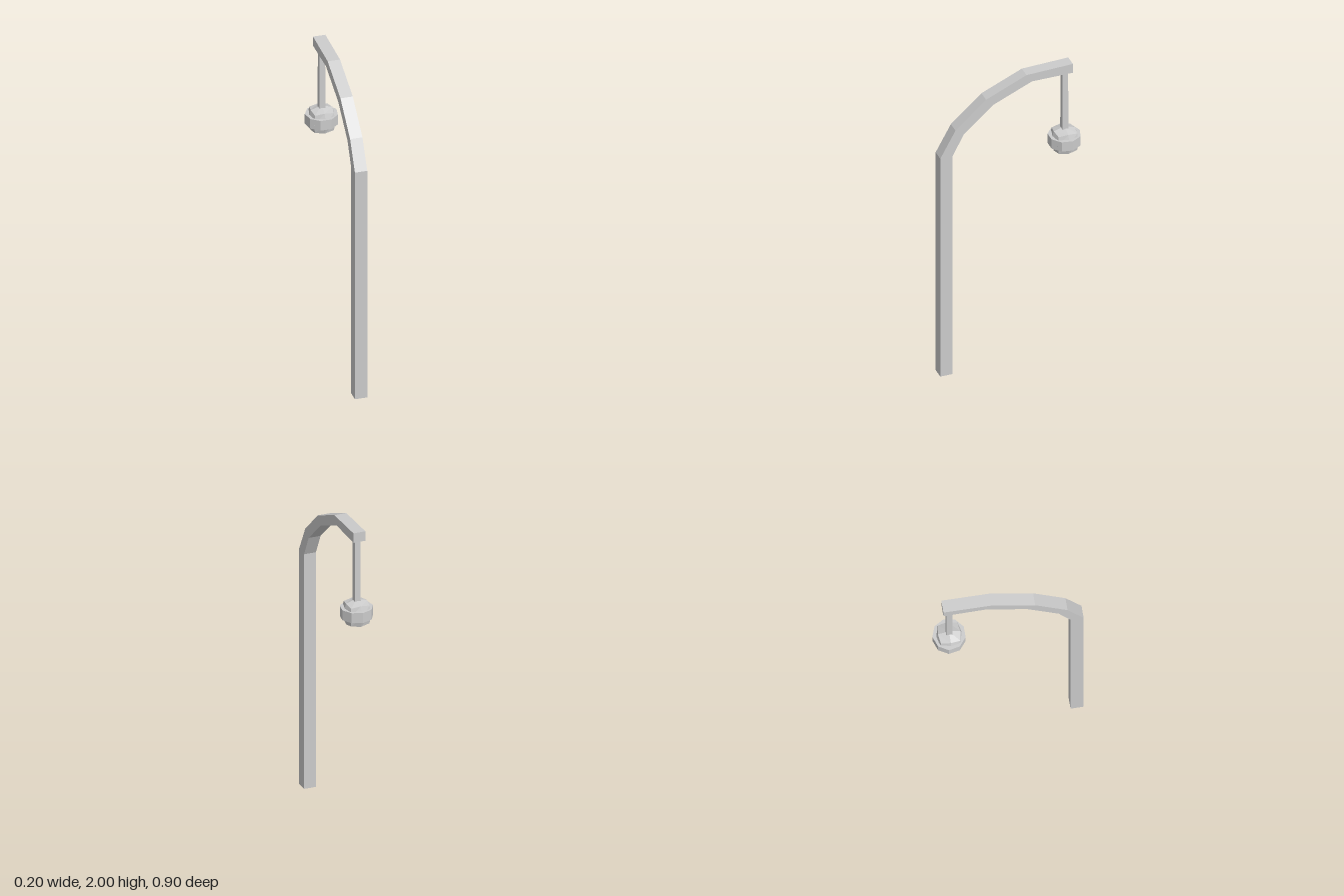
import * as THREE from 'three';

const material = new THREE.MeshStandardMaterial({ color: 0xcccccc, flatShading: true, side: THREE.DoubleSide });

// Square post and arm: [outer z, outer y, inner z, inner y] per section
function postGeometry() {
  const sections = [
    [0.449, 0, 0.371, 0],
    [0.449, 1.53, 0.371, 1.53],
    [0.353, 1.705, 0.3, 1.668],
    [0.16, 1.877, 0.115, 1.83],
    [-0.095, 1.99, -0.13, 1.938],
    [-0.388, 2, -0.388, 1.938],
  ];
  const left = 0.036, right = -0.04;
  const rings = sections.map(([oz, oy, iz, iy]) => [
    [left, oy, oz], [right, oy, oz], [right, iy, iz], [left, iy, iz],
  ]);
  const positions = [];
  const quad = (a, b, c, d) => positions.push(...a, ...d, ...c, ...a, ...c, ...b);
  for (let i = 0; i < rings.length - 1; i++) {
    for (let k = 0; k < 4; k++) {
      const n = (k + 1) % 4;
      quad(rings[i][k], rings[i][n], rings[i + 1][n], rings[i + 1][k]);
    }
  }
  quad(...rings[rings.length - 1]); // closed arm tip, open foot
  const geometry = new THREE.BufferGeometry();
  geometry.setAttribute('position', new THREE.Float32BufferAttribute(positions, 3));
  geometry.computeVertexNormals();
  return geometry;
}

// Cube of 2 x 2 facets per side, puffed out into a rough ball
function ballGeometry() {
  const geometry = new THREE.BoxGeometry(2, 2, 2, 2, 2, 2);
  const reach = [0, 0.0875, 0.067, 0.058]; // face centre, edge middle, corner
  const p = geometry.attributes.position;
  for (let i = 0; i < p.count; i++) {
    const v = [p.getX(i), p.getY(i), p.getZ(i)].map(Math.round);
    const s = reach[v.filter((c) => c !== 0).length];
    p.setXYZ(i, v[0] * s, v[1] * s, v[2] * s);
  }
  geometry.computeVertexNormals();
  return geometry;
}

export function createModel() {
  const group = new THREE.Group();
  group.name = 'streetLamp';
  const add = (name, geometry, y = 0, z = 0) => {
    const mesh = new THREE.Mesh(geometry, material);
    mesh.name = name;
    mesh.position.set(0, y, z);
    group.add(mesh);
  };
  const lampZ = -0.348;

  add('curvedPost', postGeometry());

  // Square hanging rod, slightly wider at the bottom
  const rod = new THREE.CylinderGeometry(0.024, 0.027, 0.41, 4).rotateY(Math.PI / 4);
  add('hangingRod', rod, 1.74, lampZ);

  add('lampBall', ballGeometry(), 1.4625, lampZ);

  // Nine-sided band around the ball, one corner to the back
  const band = new THREE.CylinderGeometry(0.0995, 0.0995, 0.065, 9).rotateY(Math.PI);
  add('lampBand', band, 1.4675, lampZ);

  return group;
}
